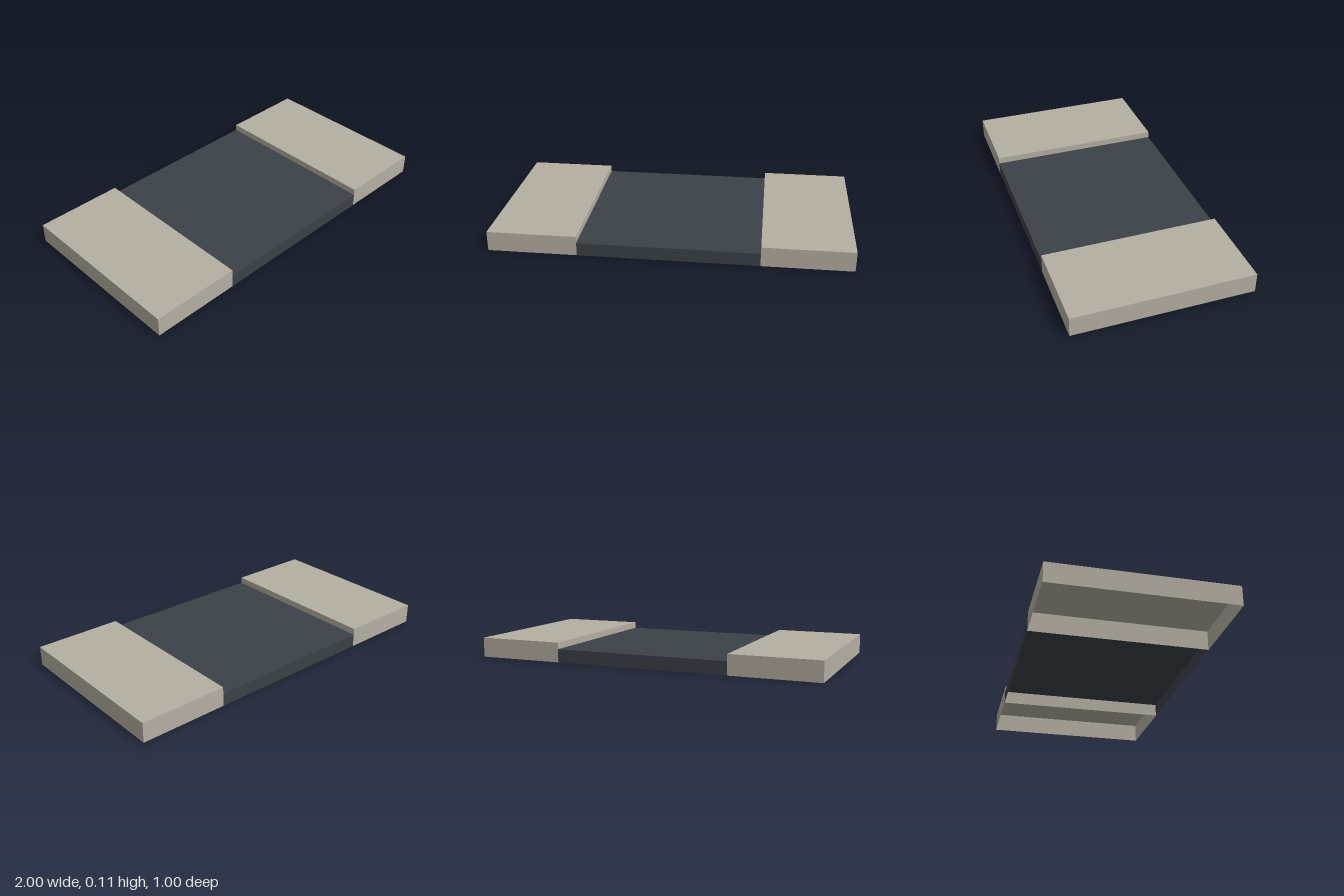
import * as THREE from 'three';

// Box side order: +x, -x, top, bottom, front, back
const RIGHT = 0, LEFT = 1, TOP = 2, FRONT = 4, BACK = 5;

// Hollow shell standing on y = 0, made of only the listed box sides
function shell(name, width, height, depth, sides, material) {
  const geometry = new THREE.BoxGeometry(width, height, depth);
  const index = Array.from(geometry.index.array);
  geometry.setIndex(sides.flatMap((s) => index.slice(s * 6, s * 6 + 6)));
  geometry.clearGroups();
  geometry.translate(0, height / 2, 0);
  const mesh = new THREE.Mesh(geometry, material);
  mesh.name = name;
  return mesh;
}

export function createModel() {
  const group = new THREE.Group();
  group.name = 'chipComponent';

  const metal = new THREE.MeshStandardMaterial({ color: 0xb5afa2, side: THREE.DoubleSide });
  metal.name = 'warm grey metal';
  const dark = new THREE.MeshStandardMaterial({ color: 0x3b4147, side: THREE.DoubleSide });
  dark.name = 'dark slate';

  // Thin central body, open below and closed at its ends by the terminals
  group.add(shell('body', 1, 0.075, 1, [TOP, FRONT, BACK], dark));

  // Taller end terminals, open below
  for (const [name, x] of [['leftTerminal', 0.75], ['rightTerminal', -0.75]]) {
    const terminal = shell(name, 0.5, 0.1125, 1, [RIGHT, LEFT, TOP, FRONT, BACK], metal);
    terminal.position.x = x;
    group.add(terminal);
  }
  return group;
}
